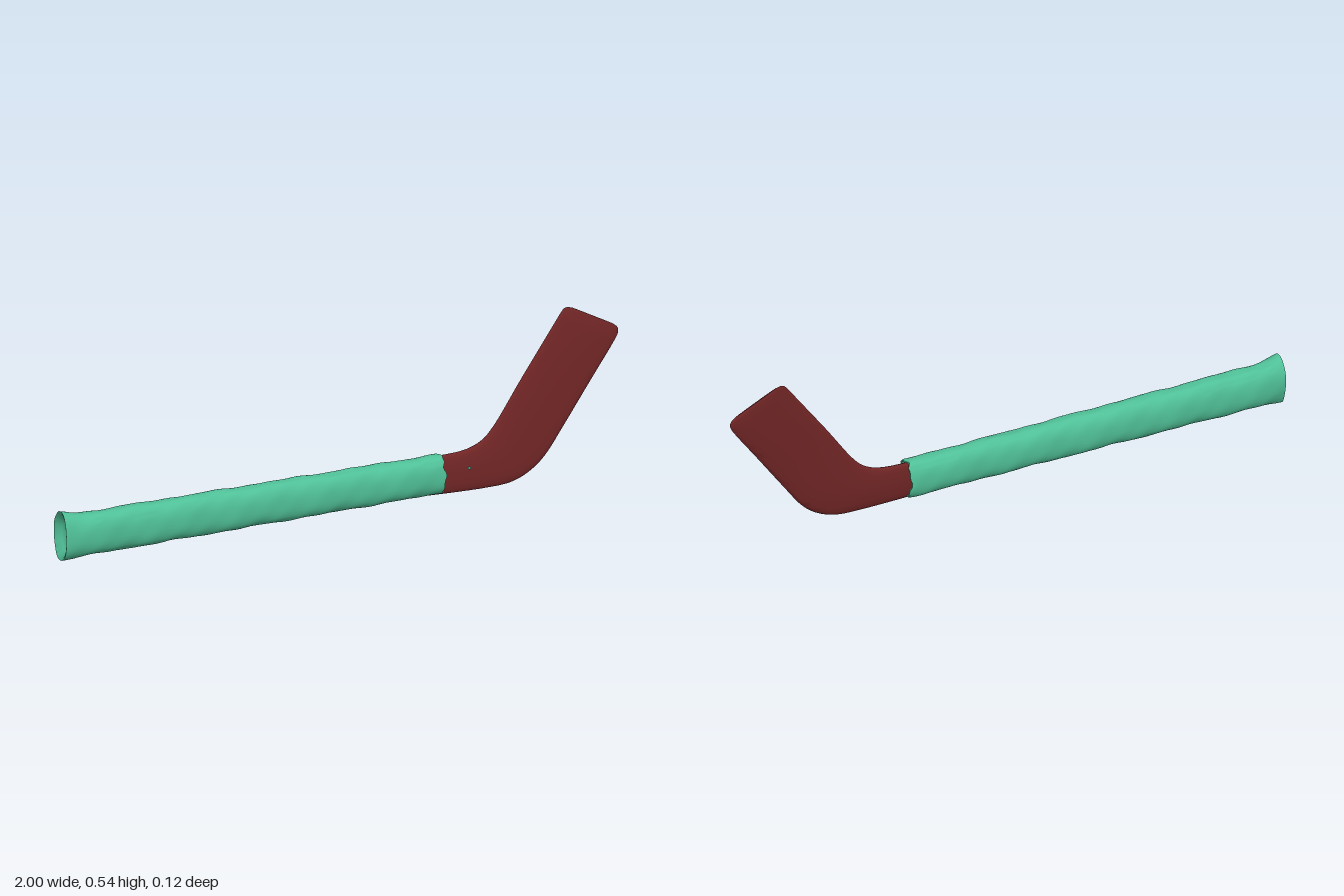
import * as THREE from 'three';
import { toCreasedNormals } from 'three/addons/utils/BufferGeometryUtils.js';

// Skin a list of equal-sized point rings and close both ends with fans.
function loft(rings) {
  const n = rings[0].length;
  const pos = [], idx = [];
  rings.forEach((r) => r.forEach((p) => pos.push(p.x, p.y, p.z)));
  for (let i = 0; i < rings.length - 1; i++) {
    for (let j = 0; j < n; j++) {
      const a = i * n + j, b = i * n + ((j + 1) % n);
      idx.push(a, b, a + n, b, b + n, a + n);
    }
  }
  [0, rings.length - 1].forEach((i) => {
    const c = pos.length / 3;
    const mid = rings[i].reduce((s, p) => s.add(p), new THREE.Vector3()).divideScalar(n);
    pos.push(mid.x, mid.y, mid.z);
    for (let j = 0; j < n; j++) {
      const a = i * n + j, b = i * n + ((j + 1) % n);
      if (i === 0) idx.push(c, b, a);
      else idx.push(c, a, b);
    }
  });
  const g = new THREE.BufferGeometry();
  g.setAttribute('position', new THREE.Float32BufferAttribute(pos, 3));
  g.setIndex(idx);
  return toCreasedNormals(g, 0.8);
}

// Rounded-box curve: smaller e gives squarer corners.
const soft = (v, e) => Math.sign(v) * Math.pow(Math.abs(v), e);

function mesh(name, geometry, color) {
  const m = new THREE.Mesh(geometry, new THREE.MeshStandardMaterial({ color, side: THREE.DoubleSide }));
  m.name = name;
  return m;
}

// Wrapped grip: a slightly lumpy oval tube with a flared butt.
function gripRing(x, scale = 1, ragged = 0) {
  const ring = [], n = 36;
  const t = (x + 1) / 1.36;
  const flare = Math.exp(-Math.pow((x + 1) / 0.05, 2));
  const bottom = 0.014 - 0.003 * flare, top = 0.155 - 0.014 * t + 0.015 * flare;
  const cy = (bottom + top) / 2, h = (top - bottom) / 2;
  const cz = 0.011 - 0.027 * t, w = 0.045 - 0.003 * t;
  for (let j = 0; j < n; j++) {
    const a = (j / n) * Math.PI * 2;
    const lump = 1 + 0.02 * Math.sin(x * 23 + 2 * a) + 0.014 * Math.sin(x * 41 - 3 * a)
      + 0.01 * Math.sin(x * 67 + 5 * a) + 0.03 * flare * Math.sin(4 * a + 0.6);
    ring.push(new THREE.Vector3(
      x + ragged * (Math.sin(5 * a) + Math.sin(9 * a + 1)),
      cy + soft(Math.cos(a), 0.85) * h * scale * lump,
      cz + soft(Math.sin(a), 0.8) * w * scale * lump));
  }
  return ring;
}

function gripGeometry() {
  // Dished butt end
  const rings = [gripRing(-0.965, 0.4), gripRing(-0.975, 0.7), gripRing(-0.995, 0.9)];
  for (let i = 0; i <= 68; i++) rings.push(gripRing(-0.997 + (1.345 * i) / 68));
  // Ragged mouth and shallow recess around the shaft
  rings.push(gripRing(0.354, 0.98, 0.003), gripRing(0.354, 0.9, 0.003), gripRing(0.33, 0.82));
  return loft(rings);
}

// Blade: flattened sections between a lower and an upper edge, leaning back.
// [lower x, lower y, upper x, upper y, centre z, half thickness]
const STATIONS = [
  [0.30, 0.012, 0.30, 0.138, -0.016, 0.013],
  [0.40, 0.008, 0.40, 0.138, -0.016, 0.013],
  [0.51, 0.006, 0.46, 0.146, -0.016, 0.014],
  [0.60, 0.010, 0.51, 0.168, -0.018, 0.014],
  [0.67, 0.035, 0.55, 0.207, -0.022, 0.013],
  [0.73, 0.081, 0.593, 0.263, -0.027, 0.012],
  [0.80, 0.170, 0.646, 0.335, -0.034, 0.011],
  [0.90, 0.302, 0.732, 0.446, -0.045, 0.010],
  [0.975, 0.400, 0.792, 0.523, -0.053, 0.008],
  [0.998, 0.436, 0.808, 0.541, -0.056, 0.006],
  [0.997, 0.456, 0.820, 0.547, -0.057, 0.004],
  [0.980, 0.471, 0.840, 0.544, -0.057, 0.002],
];

function bladeGeometry() {
  const curve = (f) => new THREE.CatmullRomCurve3(STATIONS.map(f), false, 'catmullrom', 0.5);
  const lower = curve((s) => new THREE.Vector3(s[0], s[1], s[4]));
  const upper = curve((s) => new THREE.Vector3(s[2], s[3], s[5]));
  const rings = [], n = 28, steps = 66;
  for (let i = 0; i <= steps; i++) {
    const lo = lower.getPoint(i / steps), up = upper.getPoint(i / steps);
    const ring = [];
    for (let j = 0; j < n; j++) {
      const a = (j / n) * Math.PI * 2;
      const k = 0.5 + 0.5 * Math.cos(a);
      const x = lo.x + (up.x - lo.x) * k, y = lo.y + (up.y - lo.y) * k;
      // The lower edge sits a touch further forward than the upper one
      const z = lo.z - 0.008 * (k - 0.5) + soft(Math.sin(a), 0.75) * up.z;
      ring.push(new THREE.Vector3(x, y, z));
    }
    rings.push(ring);
  }
  return loft(rings);
}

export function createModel() {
  const group = new THREE.Group();
  group.name = 'hockeyStick';
  group.add(mesh('wrappedHandle', gripGeometry(), 0x4fbf97));
  group.add(mesh('blade', bladeGeometry(), 0x702525));
  // Small stray fleck of wrap in front of the blade heel
  const fleck = mesh('wrapFleck', new THREE.IcosahedronGeometry(0.006, 0), 0x4fbf97);
  fleck.position.set(0.44, 0.094, 0.02);
  fleck.scale.z = 0.4;
  group.add(fleck);
  return group;
}
